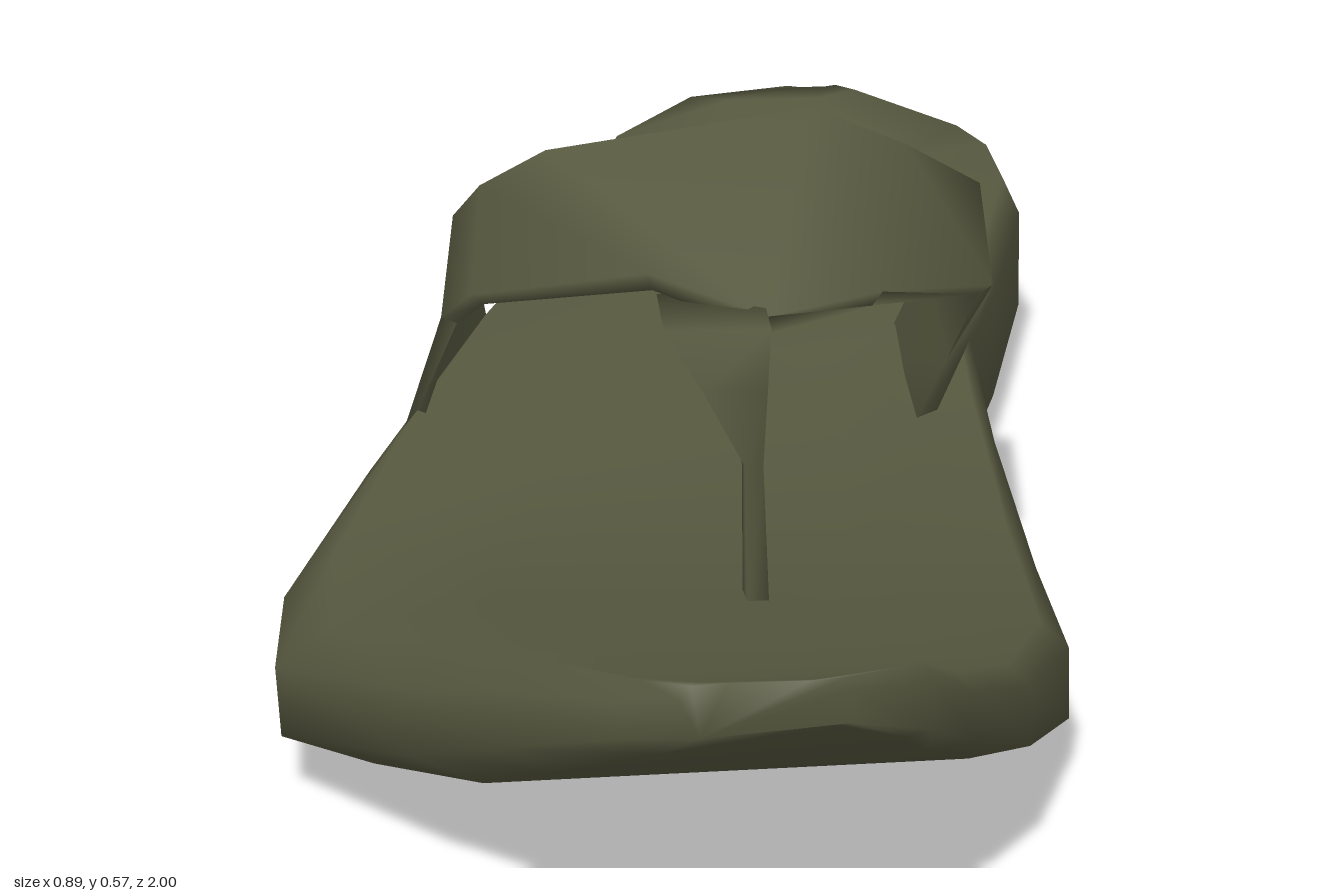
import * as THREE from 'three';

// Joins equal-length rings into a closed, smooth-shaded solid.
// Rings run counterclockwise as seen from the end of the loft.
function loft(name, rings, material) {
  const n = rings[0].length, last = (rings.length - 1) * n, index = [];
  for (let i = 0; i < rings.length - 1; i++) {
    for (let j = 0; j < n; j++) {
      const k = (j + 1) % n;
      const a = i * n + j, b = i * n + k, c = b + n, d = a + n;
      index.push(a, b, c, a, c, d);
    }
  }
  for (let j = 1; j < n - 1; j++) {
    index.push(0, j + 1, j);
    index.push(last, last + j, last + j + 1);
  }
  const geometry = new THREE.BufferGeometry();
  geometry.setAttribute('position', new THREE.Float32BufferAttribute(rings.flat(2), 3));
  geometry.setIndex(index);
  geometry.computeVertexNormals();
  const mesh = new THREE.Mesh(geometry, material);
  mesh.name = name;
  return mesh;
}

// Cross-section of the sole: inset base, upright walls, raised rim, dished footbed.
function soleRing([z, xL, xR, base, rimL, rimR, bed]) {
  const w = xR - xL, hL = rimL - base, hR = rimR - base;
  return [
    [xL + w * 0.12, base, z],
    [xR - w * 0.1, base + 0.01, z],
    [xR, base + hR * 0.2, z],
    [xR - w * 0.003, base + hR * 0.78, z],
    [xR - w * 0.04, rimR, z],
    [xR - w * 0.25, bed, z],
    [xL + w * 0.28, bed, z],
    [xL + w * 0.07, rimL, z],
    [xL, base + hL * 0.72, z],
    [xL + w * 0.005, base + hL * 0.22, z],
  ];
}

export function createModel() {
  const model = new THREE.Group();
  model.name = 'sandal';
  const olive = new THREE.MeshStandardMaterial({ color: 0x56583f });
  olive.name = 'olive rubber';

  // Sole, heel to toe: z, left x, right x, base y, rim y (each side), footbed y
  const sections = [
    [-1.0, 0.18, 0.25, 0.08, 0.25, 0.25, 0.248],
    [-0.975, 0.04, 0.28, 0.06, 0.245, 0.25, 0.24],
    [-0.84, -0.08, 0.405, 0.015, 0.235, 0.24, 0.225],
    [-0.78, -0.1, 0.437, 0.012, 0.23, 0.232, 0.215],
    [-0.67, -0.13, 0.445, 0.015, 0.225, 0.222, 0.21],
    [-0.35, -0.215, 0.37, 0.012, 0.23, 0.23, 0.2],
    [-0.18, -0.27, 0.32, 0.008, 0.23, 0.235, 0.18],
    [0.1, -0.36, 0.31, 0, 0.215, 0.22, 0.14],
    [0.38, -0.445, 0.315, 0.008, 0.18, 0.18, 0.165],
    [0.57, -0.45, 0.32, 0.035, 0.18, 0.165, 0.205],
    [0.78, -0.325, 0.25, 0.11, 0.245, 0.215, 0.242],
    [0.91, -0.245, 0.18, 0.18, 0.292, 0.265, 0.27],
    [0.975, -0.14, 0.135, 0.225, 0.296, 0.304, 0.292],
    [1.0, -0.09, 0.06, 0.25, 0.3, 0.304, 0.302],
  ];
  model.add(loft('sole', sections.map(soleRing), olive));

  // Strap over the foot: pairs of rear and front edge points along the arch
  const pairs = [
    [[-0.235, 0.15, -0.26], [-0.34, 0.14, 0.08]],
    [[-0.262, 0.335, -0.22], [-0.28, 0.32, 0.08]],
    [[-0.235, 0.43, -0.03], [-0.25, 0.375, 0.17]],
    [[-0.17, 0.52, 0.14], [-0.08, 0.465, 0.38]],
    [[0.1, 0.575, 0.19], [0.035, 0.435, 0.43]],
    [[0.21, 0.5, 0.08], [0.16, 0.42, 0.32]],
    [[0.3, 0.43, 0], [0.285, 0.39, 0.22]],
    [[0.275, 0.3, -0.14], [0.27, 0.28, 0.12]],
    [[0.235, 0.15, -0.22], [0.235, 0.15, 0.05]],
  ];
  const inward = ([x, y, z]) => {
    const scale = 0.018 / Math.hypot(x, y - 0.2);
    return [x - x * scale, y - (y - 0.2) * scale, z];
  };
  model.add(loft('footStrap', pairs.map(([rear, front]) =>
    [rear, front, inward(front), inward(rear)]), olive));

  // Toe post, from the footbed up into the strap: y, left x, right x, rear z, front z
  const post = [
    [0.18, 0, 0.022, 0.57, 0.625],
    [0.33, 0.002, 0.02, 0.525, 0.56],
    [0.39, -0.035, 0.028, 0.46, 0.515],
    [0.44, -0.07, 0.034, 0.37, 0.48],
  ];
  model.add(loft('toePost', post.map(([y, xL, xR, rear, front]) =>
    [[xR, y, front], [xR, y, rear], [xL, y, rear], [xL, y, front]]), olive));

  return model;
}
